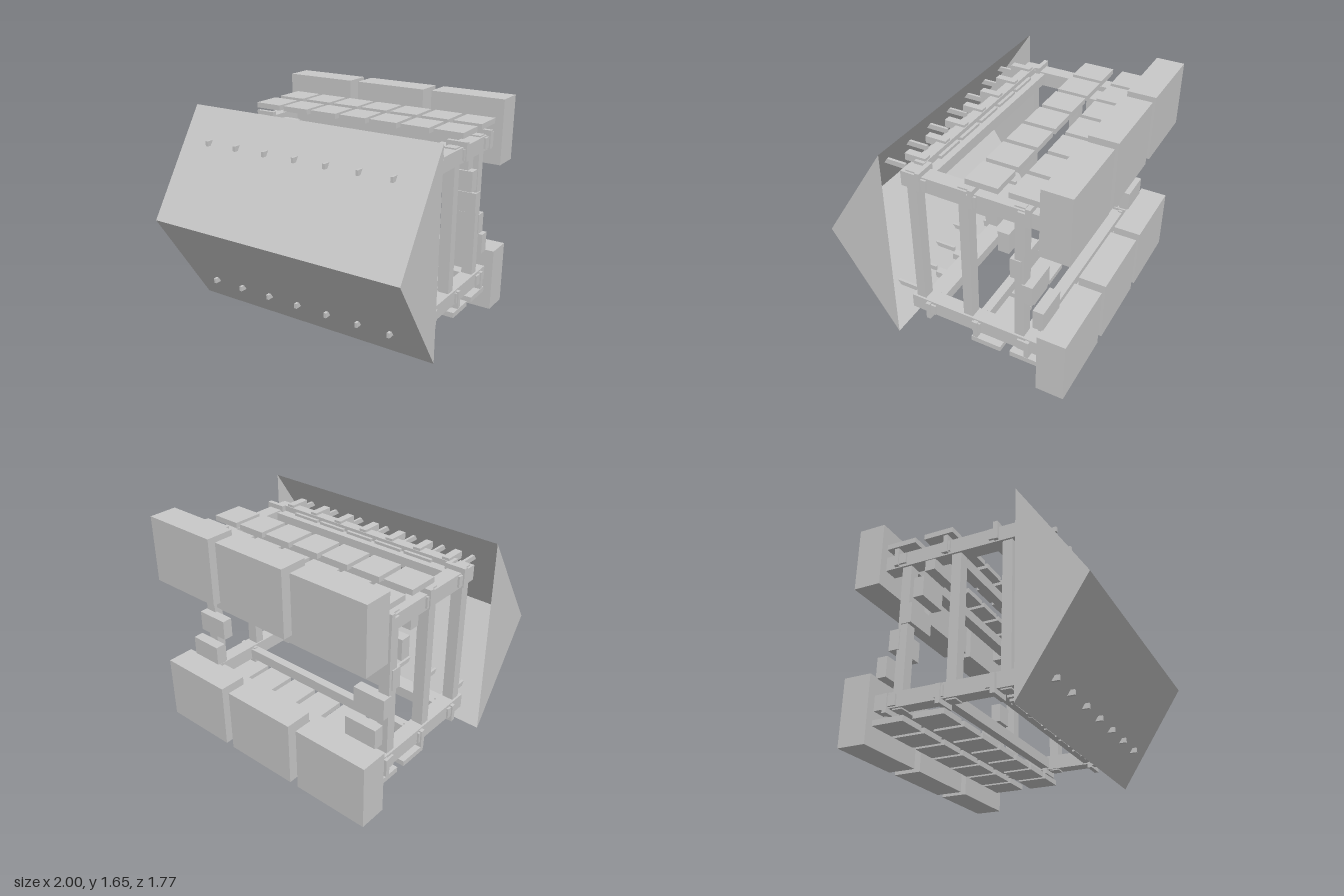
import * as THREE from 'three';

const MID = 0.826; // height of the mirror plane between upper and lower decks

export function createModel() {
  const model = new THREE.Group();
  const grey = new THREE.MeshStandardMaterial({ color: 0xc8c8c8, side: THREE.DoubleSide });
  grey.name = 'plain grey';

  // Box given by its limits on each axis
  const box = (parent, name, x0, x1, y0, y1, z0, z1) => {
    const mesh = new THREE.Mesh(new THREE.BoxGeometry(x1 - x0, y1 - y0, z1 - z0), grey);
    mesh.position.set((x0 + x1) / 2, (y0 + y1) / 2, (z0 + z1) / 2);
    mesh.name = name;
    parent.add(mesh);
  };
  // The same box on both the left and the right
  const pair = (parent, name, x0, x1, ...rest) => {
    box(parent, name + 'Left', x0, x1, ...rest);
    box(parent, name + 'Right', -x1, -x0, ...rest);
  };
  // The same box on the upper and the lower deck
  const decks = (add, name, x0, x1, y0, y1, z0, z1) => {
    add(model, name + 'Upper', x0, x1, y0, y1, z0, z1);
    add(model, name + 'Lower', x0, x1, 2 * MID - y1, 2 * MID - y0, z0, z1);
  };

  // Wedge shield: two sloping panels and two end triangles, open at the back
  const corner = (x) => [[x, 1.58, 0.395], [x, MID, 0.885], [x, 0.072, 0.395]];
  const [tl, ml, bl] = corner(1);
  const [tr, mr, br] = corner(-1);
  const faces = [tr, mr, ml, tr, ml, tl, mr, br, bl, mr, bl, ml, tl, ml, bl, tr, br, mr];
  const wedge = new THREE.BufferGeometry();
  wedge.setAttribute('position', new THREE.Float32BufferAttribute(faces.flat(), 3));
  wedge.computeVertexNormals();
  const shield = new THREE.Mesh(wedge, grey);
  shield.name = 'wedgeShield';
  model.add(shield);

  // Frame: side rails, posts and front beam
  decks(pair, 'sideRail', 0.765, 0.875, 1.3, 1.41, -0.675, 0.34);
  for (const z of [0.272, -0.112, -0.507]) {
    pair(model, 'post', 0.775, 0.86, 0.232, 1.42, z - 0.036, z + 0.036);
  }
  decks(box, 'frontBeam', -0.765, 0.765, 1.36, 1.432, 0.232, 0.308);

  // Cross beams passing through the rails, each with a clip at both ends
  const beams = [[0.143, 0.215, 0.182], [-0.218, -0.153, -0.2], [-0.595, -0.505, -0.595]];
  for (const [z0, z1, clip] of beams) {
    decks(box, 'crossBeam', -0.89, 0.89, 1.32, 1.4, z0, z1);
    decks(pair, 'clip', 0.745, 0.9, 1.31, 1.445, clip, clip + 0.033);
  }

  for (let i = -3; i <= 3; i++) {
    // Deck plates in two rows
    const c = i * 0.2565;
    decks(box, 'frontDeckPlate', c - 0.11, c + 0.11, 1.473, 1.513, -0.37, -0.142);
    decks(box, 'rearDeckPlate', c - 0.11, c + 0.11, 1.473, 1.513, -0.675, -0.442);
    if (Math.abs(i) < 3) {
      decks(box, 'edgeStrip', c - 0.112, c + 0.112, 1.39, 1.42, 0.192, 0.215);
    }
    // Tabs holding the shield, and pins piercing it
    const t = i * 0.2375;
    decks(box, 'shieldTab', t - 0.028, t + 0.028, 1.398, 1.45, 0.238, 0.395);
    const p = i * 0.251;
    decks(box, 'shieldPin', p - 0.01, p + 0.01, 1.34, 1.377, 0.385, 0.58);
  }

  // Large rear blocks, three above and three below
  for (const x of [-0.65, 0, 0.65]) {
    decks(box, 'rearBlock', x - 0.29, x + 0.29, 1.167, 1.652, -0.882, -0.677);
  }

  // Steps falling towards the rear on each side
  for (let i = 0; i < 5; i++) {
    const y = 1.295 - i * 0.1855;
    const z = -0.315 - i * 0.083;
    pair(model, 'step', 0.62, 0.868, y - 0.076, y + 0.076, z - 0.039, z + 0.039);
  }

  return model;
}
